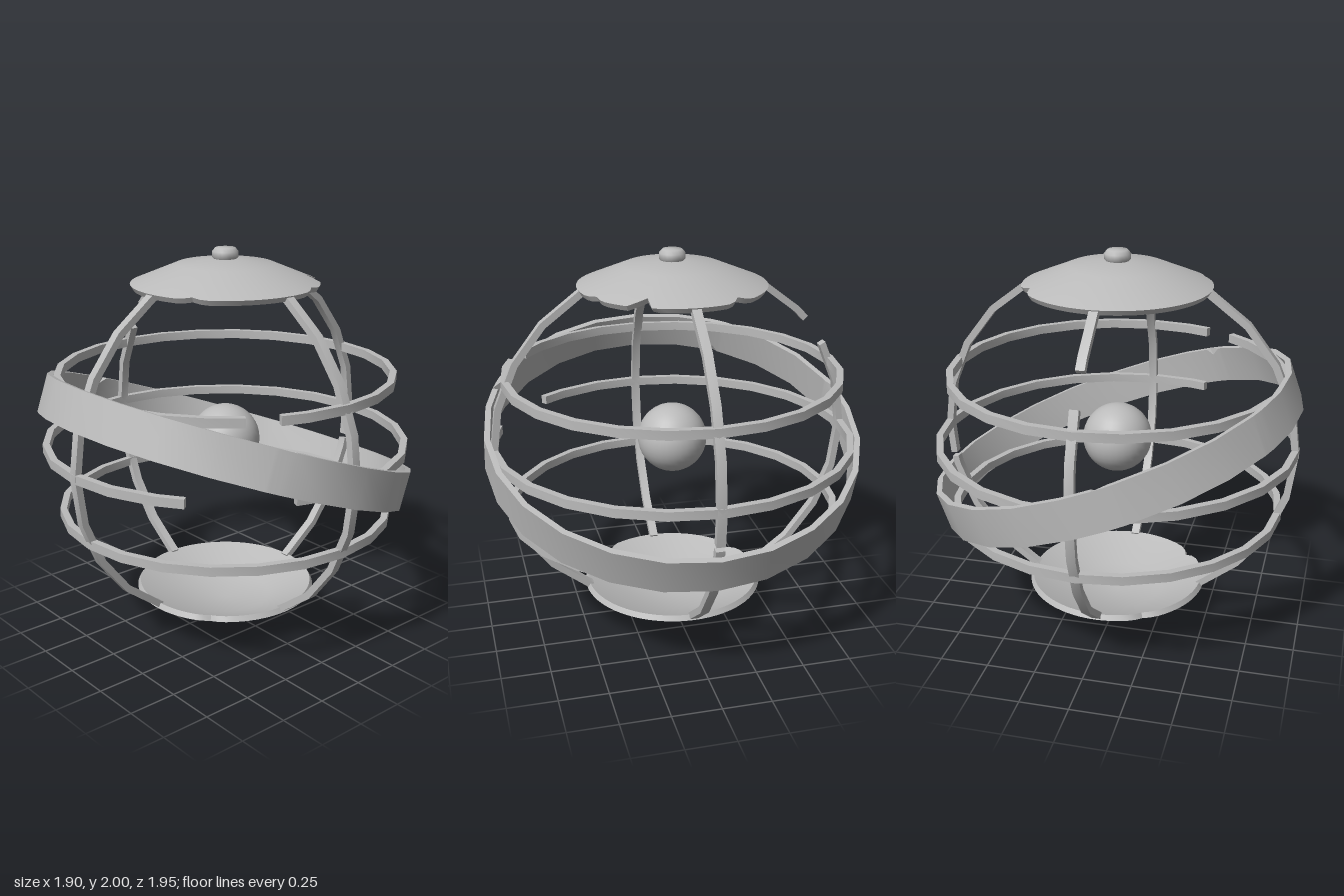
import * as THREE from 'three';
import { toCreasedNormals } from 'three/addons/utils/BufferGeometryUtils.js';

const RAD = Math.PI / 180;
const stone = new THREE.MeshStandardMaterial({ color: 0xbbbbbb });
stone.name = 'plainGrey';

// Flat hoop, or part of one, in the XY plane with corners every 15 degrees.
// chips: [angle, side] pairs, small V dents in the +z or -z edge.
function hoop(outer, inner, width, from = 0, to = 360, chips = []) {
  const closed = to - from >= 360;
  const set = new Set([from]);
  if (!closed) set.add(to);
  for (let a = Math.ceil(from / 15) * 15; a < to; a += 15) set.add(a);
  for (const [a] of chips) [a - 3, a, a + 2].forEach((b) => set.add(b));
  const angles = [...set].sort((a, b) => a - b);
  const pts = (r) => angles.map((a) => new THREE.Vector2(r * Math.cos(a * RAD), r * Math.sin(a * RAD)));
  let shape;
  if (closed) {
    shape = new THREE.Shape(pts(outer));
    shape.holes.push(new THREE.Path(pts(inner)));
  } else {
    shape = new THREE.Shape([...pts(outer), ...pts(inner).reverse()]);
  }
  const geo = new THREE.ExtrudeGeometry(shape, { depth: width, bevelEnabled: false });
  geo.translate(0, 0, -width / 2);
  const p = geo.attributes.position;
  for (let i = 0; i < p.count; i++) {
    const deg = Math.atan2(p.getY(i), p.getX(i)) / RAD;
    for (const [a, side] of chips) {
      const off = Math.abs(((deg - a + 540) % 360) - 180);
      if (off < 0.1 && p.getZ(i) * side > 0) p.setZ(i, p.getZ(i) - side * 0.035);
    }
  }
  return toCreasedNormals(geo, 0.5);
}

// Thin domed shell at the pole, with broken bites in its rim
function capGeometry(chips) {
  const arc = (r, degs) => degs.map((d) => new THREE.Vector2(r * Math.sin(d * RAD), r * Math.cos(d * RAD)));
  const profile = [...arc(0.922, [0, 15, 30]), ...arc(0.952, [30, 15, 0])];
  profile[0].x = profile[5].x = 0;
  const geo = new THREE.LatheGeometry(profile, 72);
  const p = geo.attributes.position;
  for (let i = 0; i < p.count; i++) {
    const x = p.getX(i), z = p.getZ(i);
    if (Math.hypot(x, z) < 0.4) continue;
    const deg = Math.atan2(z, x) / RAD;
    for (const [a, bite] of chips) {
      const off = Math.abs(((deg - a + 540) % 360) - 180);
      if (off > 6) continue;
      const k = bite * (1 - off / 7);
      p.setXYZ(i, x * (1 - k), p.getY(i) + k * 0.19, z * (1 - k));
    }
  }
  return toCreasedNormals(geo, 0.6);
}

export function createModel() {
  const model = new THREE.Group();
  model.name = 'brokenArmillarySphere';
  const globe = new THREE.Group();
  globe.name = 'globe';
  globe.position.y = 1;
  model.add(globe);

  const add = (name, geo, parent = globe) => {
    const mesh = new THREE.Mesh(geo, stone);
    mesh.name = name;
    parent.add(mesh);
    return mesh;
  };

  // Central ball
  add('centreBall', new THREE.SphereGeometry(0.18, 32, 20)).position.y = 0.005;

  // Upright bars running from cap to cap, two of them snapped
  const bars = [
    ['leftBarLower', -61, -12, 0],
    ['leftBarUpper', -10.5, 61, 0],
    ['rightBar', 119, 241, 0],
    ['frontBar', -61, 61, -90],
    ['backBarUpper', 119, 139.3, -90],
    ['backBarLower', 150.2, 241, -90],
  ];
  for (const [name, from, to, turn] of bars) {
    add(name, hoop(0.945, 0.91, 0.045, from, to)).rotation.y = turn * RAD;
  }

  // Level rings, the upper two with a missing stretch
  const rings = [
    ['upperRing', 0.873, 0.362, -113.7, 235.6],
    ['equatorRing', 0.945, 0.003, -110.5, 218.5],
    ['lowerRing', 0.873, -0.355, 0, 360],
  ];
  for (const [name, r, y, from, to] of rings) {
    const ring = add(name, hoop(r, r - 0.035, 0.046, from, to));
    ring.rotation.x = -Math.PI / 2;
    ring.position.y = y;
  }

  // Wide tilted band
  const bandGeo = hoop(0.975, 0.945, 0.2, 0, 360, [[102, 1], [152, -1], [244, 1]]);
  bandGeo.rotateX(-Math.PI / 2);
  const band = add('tiltedBand', bandGeo);
  band.rotation.z = -20 * RAD;
  band.position.y = 0.003;

  // Polar caps with rounded knobs
  const knobProfile = [[0, 0.935], [0.05, 0.935], [0.066, 0.952], [0.066, 0.98], [0.05, 0.998], [0, 1]]
    .map(([x, y]) => new THREE.Vector2(x, y));
  const capChips = { top: [[31, 0.17], [-30, 0.07], [65, 0.04], [150, 0.04]], bottom: [[120, 0.05], [-140, 0.06]] };
  for (const end of ['top', 'bottom']) {
    const pole = new THREE.Group();
    pole.name = end + 'Pole';
    if (end === 'bottom') pole.rotation.x = Math.PI;
    globe.add(pole);
    add(end + 'Cap', capGeometry(capChips[end]), pole);
    add(end + 'Knob', toCreasedNormals(new THREE.LatheGeometry(knobProfile, 20), 0.9), pole);
  }

  return model;
}
